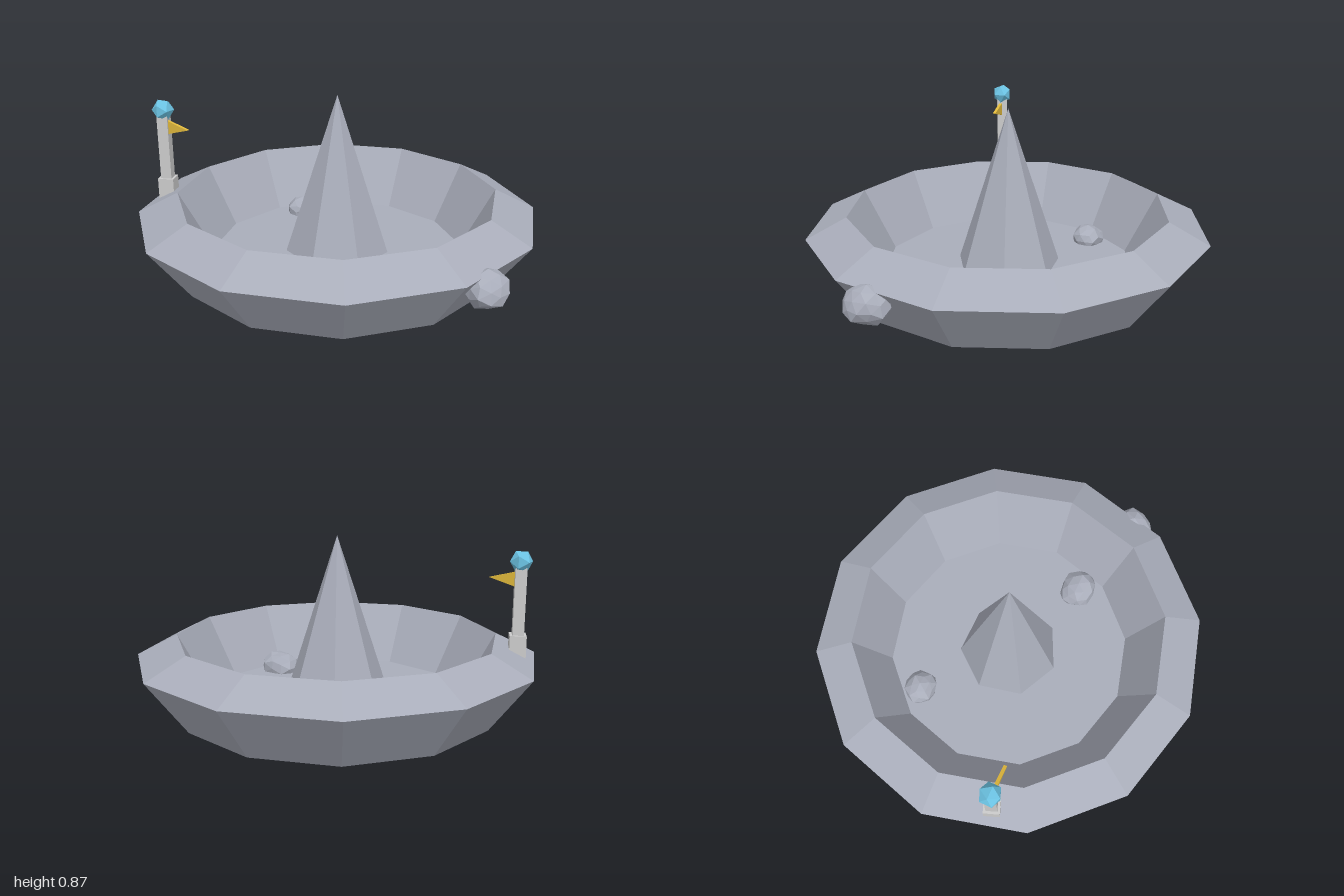
import * as THREE from 'three';

const flat = (color, side = THREE.FrontSide) =>
  new THREE.MeshStandardMaterial({ color, flatShading: true, side });

function part(name, geometry, material, x = 0, y = 0, z = 0) {
  const mesh = new THREE.Mesh(geometry, material);
  mesh.name = name;
  mesh.position.set(x, y, z);
  return mesh;
}

// Faceted boulder: an icosphere whose corners are pushed in or out by position
function rockGeometry(rx, ry, rz, phase) {
  const geo = new THREE.IcosahedronGeometry(1, 1);
  const p = geo.attributes.position;
  const v = new THREE.Vector3();
  for (let i = 0; i < p.count; i++) {
    v.fromBufferAttribute(p, i);
    const k = 0.97 + 0.07 * Math.sin(5 * v.x + 3 * v.y + 4 * v.z + phase);
    p.setXYZ(i, v.x * k * rx, v.y * k * ry, v.z * k * rz);
  }
  geo.computeVertexNormals();
  return geo;
}

export function createModel() {
  const model = new THREE.Group();
  model.name = 'crater';
  const stone = flat(0xa9adba);
  const metal = flat(0xcccccc);

  // Twelve-sided rim: outer wall, top slope, inner wall, sloping underside
  const profile = [[0.8, 0], [1, 0.27], [0.8, 0.37], [0.632, 0.06], [0.8, 0]]
    .map(([r, y]) => new THREE.Vector2(r, y));
  model.add(part('craterRim', new THREE.LatheGeometry(profile, 12), flat(0xa9adba, THREE.DoubleSide)));

  // Floor slab
  model.add(part('craterFloor', new THREE.CylinderGeometry(0.66, 0.66, 0.065, 12), stone, 0, 0.0325, 0));

  // Central peak with seven sides
  model.add(part('centralPeak', new THREE.ConeGeometry(0.265, 0.805, 7), stone, 0, 0.4625, 0));

  // Boulders: x, y, z, then the three radii
  [
    [-0.4, 0.085, -0.33, 0.092, 0.072, 0.086],
    [0.47, 0.09, 0.2, 0.107, 0.08, 0.096],
    [0.9, 0.2, 0.335, 0.1, 0.09, 0.113],
  ].forEach(([x, y, z, rx, ry, rz], i) =>
    model.add(part('boulder' + (i + 1), rockGeometry(rx, ry, rz, i * 2), stone, x, y, z)));

  // Beacon on the rim, its square post turned to follow the ring
  const beacon = new THREE.Group();
  beacon.name = 'beacon';
  beacon.position.set(-0.833, 0, 0.3);
  const base = part('beaconBase', new THREE.BoxGeometry(0.08, 0.2, 0.08), metal, 0, 0.3, 0);
  const post = part('beaconPost', new THREE.BoxGeometry(0.055, 0.36, 0.055), metal, 0, 0.55, 0);
  base.rotation.y = post.rotation.y = 0.36;
  const lamp = part('beaconLamp', new THREE.IcosahedronGeometry(0.056, 0), flat(0x6cc4e4), 0, 0.757, 0);

  // Pennant pointing inward
  const shape = new THREE.Shape();
  shape.moveTo(0.02, 0.037);
  shape.lineTo(0.02, -0.037);
  shape.lineTo(0.153, 0);
  shape.closePath();
  const pennant = part('pennant',
    new THREE.ExtrudeGeometry(shape, { depth: 0.016, bevelEnabled: false }),
    flat(0xe0b83c), 0, 0.67, -0.008);

  beacon.add(base, post, lamp, pennant);
  model.add(beacon);
  return model;
}
